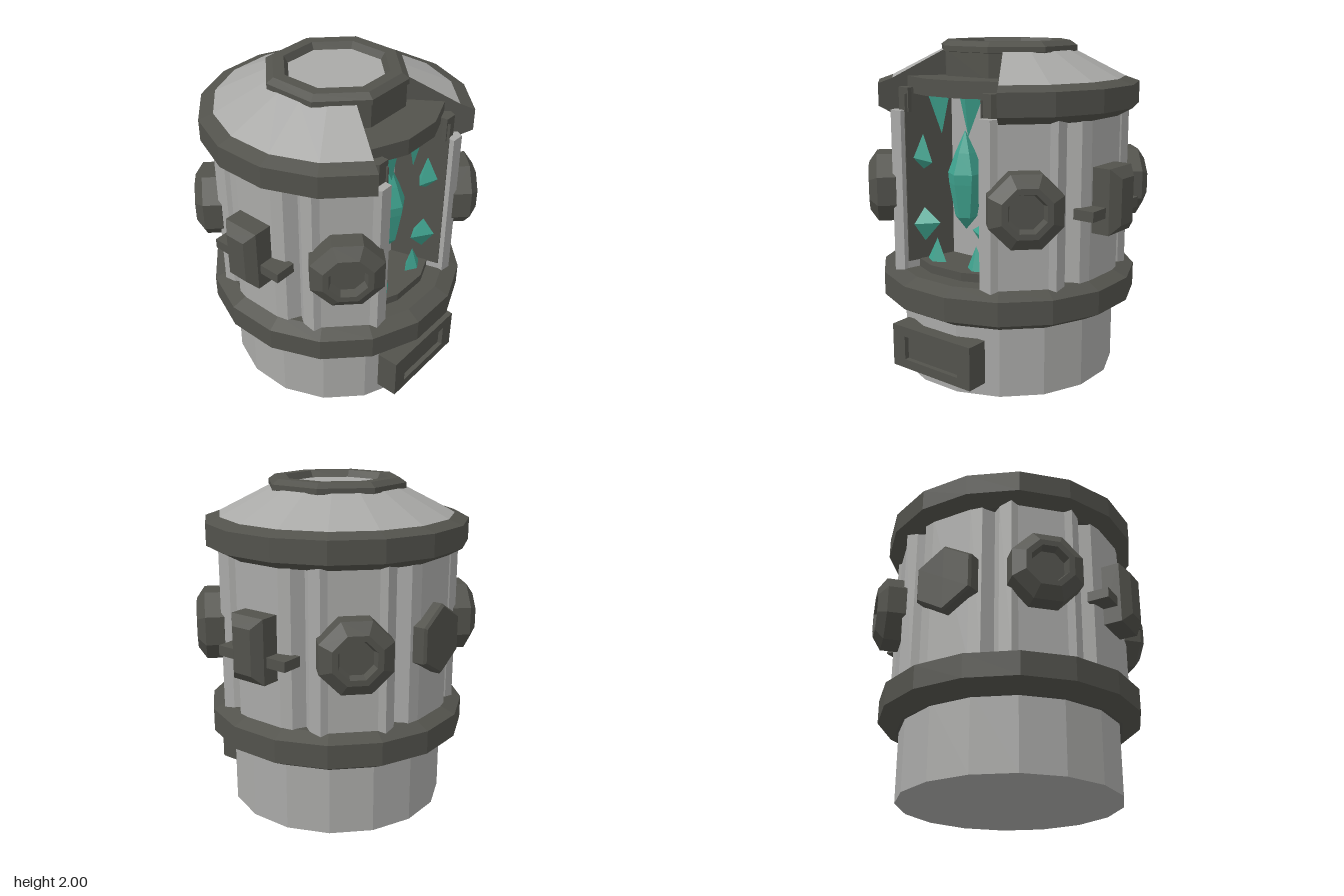
import * as THREE from 'three';

const gray = new THREE.MeshStandardMaterial({ color: 0xa9a9a7 });
gray.name = 'light gray metal';
const dark = new THREE.MeshStandardMaterial({ color: 0x52524c });
dark.name = 'dark metal';
const teal = new THREE.MeshStandardMaterial({ color: 0x3fa38f });
teal.name = 'teal crystal';

export function createModel() {
  const model = new THREE.Group();

  // Adds a faceted mesh
  function add(name, geometry, material, parent = model) {
    const g = geometry.index ? geometry.toNonIndexed() : geometry;
    g.computeVertexNormals();
    const mesh = new THREE.Mesh(g, material);
    mesh.name = name;
    parent.add(mesh);
    return mesh;
  }
  const vec = (p) => p.map(([x, y]) => new THREE.Vector2(x, y));
  // Polygonal turned part with a flat side to the front
  const turned = (points, sides) =>
    new THREE.LatheGeometry(vec(points), sides, -Math.PI / sides, Math.PI * 2);
  const box = (w, h, d, x, y, z) => new THREE.BoxGeometry(w, h, d).translate(x, y, z);

  // Base drum, lower ring and chamber floor
  add('baseDrum', turned([[0, 0], [0.663, 0], [0.663, 0.46]], 16), gray);
  add('lowerRing', turned([[0.6, 0.42], [0.68, 0.42], [0.79, 0.48], [0.79, 0.62], [0.7, 0.66], [0, 0.66]], 16), dark);
  add('chamberFloor', turned([[0.6, 0.65], [0.6, 0.71], [0, 0.71]], 16), dark);

  // Front plate with a sunken window
  const plate = new THREE.Shape(vec([[-0.3, 0.085], [0.3, 0.085], [0.3, 0.345], [-0.3, 0.345]]));
  plate.holes.push(new THREE.Path(vec([[-0.205, 0.14], [-0.205, 0.285], [0.205, 0.285], [0.205, 0.14]])));
  add('frontPlateFrame', new THREE.ExtrudeGeometry(plate, { depth: 0.135, bevelEnabled: false }).translate(0, 0, 0.6), dark);
  add('frontPlateInset', box(0.42, 0.16, 0.1, 0, 0.2125, 0.655), dark);

  // Body wall: corner pillars, diagonal panels, side and back panels, front niche
  const half = [
    [0.2, 0.29], [0.29, 0.6], [0.29, 0.63], [0.37, 0.63], [0.39, 0.59], [0.59, 0.39], [0.63, 0.37],
    [0.63, 0.29], [0.595, 0.24], [0.67, 0.2], [0.69, 0.13], [0.69, -0.13], [0.67, -0.2], [0.595, -0.24],
    [0.63, -0.29], [0.63, -0.37], [0.59, -0.39], [0.39, -0.59], [0.37, -0.63], [0.29, -0.63],
    [0.24, -0.595], [0.2, -0.67], [0.13, -0.69],
  ];
  const outline = [...half, ...half.map(([x, z]) => [-x, z]).reverse()];
  const wall = (y0, y1, s) => new THREE.ExtrudeGeometry(
    new THREE.Shape(vec(outline.map(([x, z]) => [x * s, -z * s]))),
    { depth: y1 - y0, bevelEnabled: false },
  ).rotateX(-Math.PI / 2).translate(0, y0, 0);
  add('bodyWall', wall(0.64, 1.61, 1), gray);
  add('upperCollar', wall(1.6, 1.74, 0.93), dark);

  // Niche lining
  add('nicheBack', box(0.4, 1.0, 0.008, 0, 1.205, 0.294), gray);
  for (const s of [-1, 1]) {
    const side = add('nicheSide', new THREE.BoxGeometry(0.008, 1.0, 0.323), dark);
    side.position.set(s * 0.241, 1.205, 0.445);
    side.rotation.y = s * Math.atan2(0.09, 0.31);
  }

  // Lid: ring and sloped cap, left open over the niche
  const cut = Math.PI * 3 / 16;
  function openTurned(name, points, material) {
    const loop = [...points, points[0]];
    add(name, new THREE.LatheGeometry(vec(loop), 13, cut, Math.PI * 2 - 2 * cut), material);
    for (const s of [-1, 1]) {
      // End faces: profile turned to the cutting plane
      const g = new THREE.ShapeGeometry(new THREE.Shape(vec(s > 0 ? points : points.map(([x, y]) => [-x, y]))));
      add(name + 'End', g, dark).rotation.y = s * (cut - Math.PI / 2);
    }
  }
  openTurned('lidRing', [[0.45, 1.59], [0.7, 1.58], [0.79, 1.63], [0.79, 1.76], [0.705, 1.79], [0.45, 1.79]], dark);
  openTurned('lidCap', [[0.38, 1.78], [0.705, 1.79], [0.4, 1.945], [0.38, 1.945]], gray);
  add('lidLedge', turned([[0, 1.705], [0.617, 1.705], [0.617, 1.8], [0, 1.8]], 16), dark);

  // Octagonal neck, top rim and its floor
  add('neck', turned([[0.41, 1.78], [0.41, 1.95]], 8), dark);
  add('topRim', turned([[0.4, 1.935], [0.422, 1.94], [0.422, 1.972], [0.38, 2], [0.312, 2], [0.285, 1.955]], 8), dark);
  add('topHatch', turned([[0.3, 1.94], [0.3, 1.96], [0, 1.96]], 8), gray);

  // Octagonal ports on the four diagonals
  for (let i = 0; i < 4; i++) {
    const port = add('diagonalPort', turned([
      [0.15, 0.66], [0.222, 0.69], [0.222, 0.8], [0.15, 0.85], [0.115, 0.85], [0.1, 0.8], [0, 0.8],
    ], 8).rotateX(Math.PI / 2), dark);
    port.position.y = 1.13;
    port.rotation.y = Math.PI / 4 + i * Math.PI / 2;
  }

  // Hexagonal plate on the back
  const hex = add('backPlate', new THREE.LatheGeometry(
    vec([[0.21, 0.66], [0.21, 0.745], [0.195, 0.76], [0, 0.76]]), 6).rotateX(Math.PI / 2), dark);
  hex.position.y = 1.13;
  hex.rotation.y = Math.PI;

  // Side boxes with bevelled faces and a cross bar
  for (const s of [-1, 1]) {
    const clamp = new THREE.Group();
    clamp.name = s > 0 ? 'leftClamp' : 'rightClamp';
    clamp.rotation.y = s * Math.PI / 2;
    model.add(clamp);
    add('clampBlock', box(0.23, 0.38, 0.14, 0, 1.13, 0.73), dark, clamp);
    const face = new THREE.BoxGeometry(0.23, 0.38, 0.05);
    const p = face.attributes.position;
    for (let i = 0; i < p.count; i++) {
      if (p.getZ(i) > 0) p.setXY(i, p.getX(i) * 0.55, p.getY(i) * 0.7);
    }
    add('clampFace', face.translate(0, 1.13, 0.825), dark, clamp);
    add('clampBar', box(0.49, 0.06, 0.13, 0, 1.07, 0.715), dark, clamp);
  }

  // Floating crystal
  add('coreCrystal', new THREE.LatheGeometry(
    vec([[0, 0.91], [0.065, 0.99], [0.1, 1.19], [0.105, 1.25], [0.06, 1.37], [0, 1.5]]), 6)
    .translate(0, 0, 0.4), teal);

  // Crystal spikes around the niche opening: base, tip, half width
  const spikes = [
    [[0.29, 1.335], [0.18, 1.3], 0.135],
    [[0.29, 0.925], [0.125, 0.945], 0.135],
    [[0.12, 1.71], [0.1, 1.48], 0.085],
    [[0.155, 0.705], [0.15, 0.85], 0.075],
  ];
  for (const s of [-1, 1]) {
    for (const [b, t, r] of spikes) {
      const base = new THREE.Vector3(s * b[0], b[1], 0.49);
      const dir = new THREE.Vector3(s * t[0], t[1], 0.49).sub(base);
      const h = dir.length();
      const spike = add('crystalSpike', new THREE.ConeGeometry(r, h, 4).scale(1, 1, 0.6).translate(0, h / 2, 0), teal);
      spike.position.copy(base);
      spike.quaternion.setFromUnitVectors(new THREE.Vector3(0, 1, 0), dir.normalize());
    }
  }
  return model;
}
